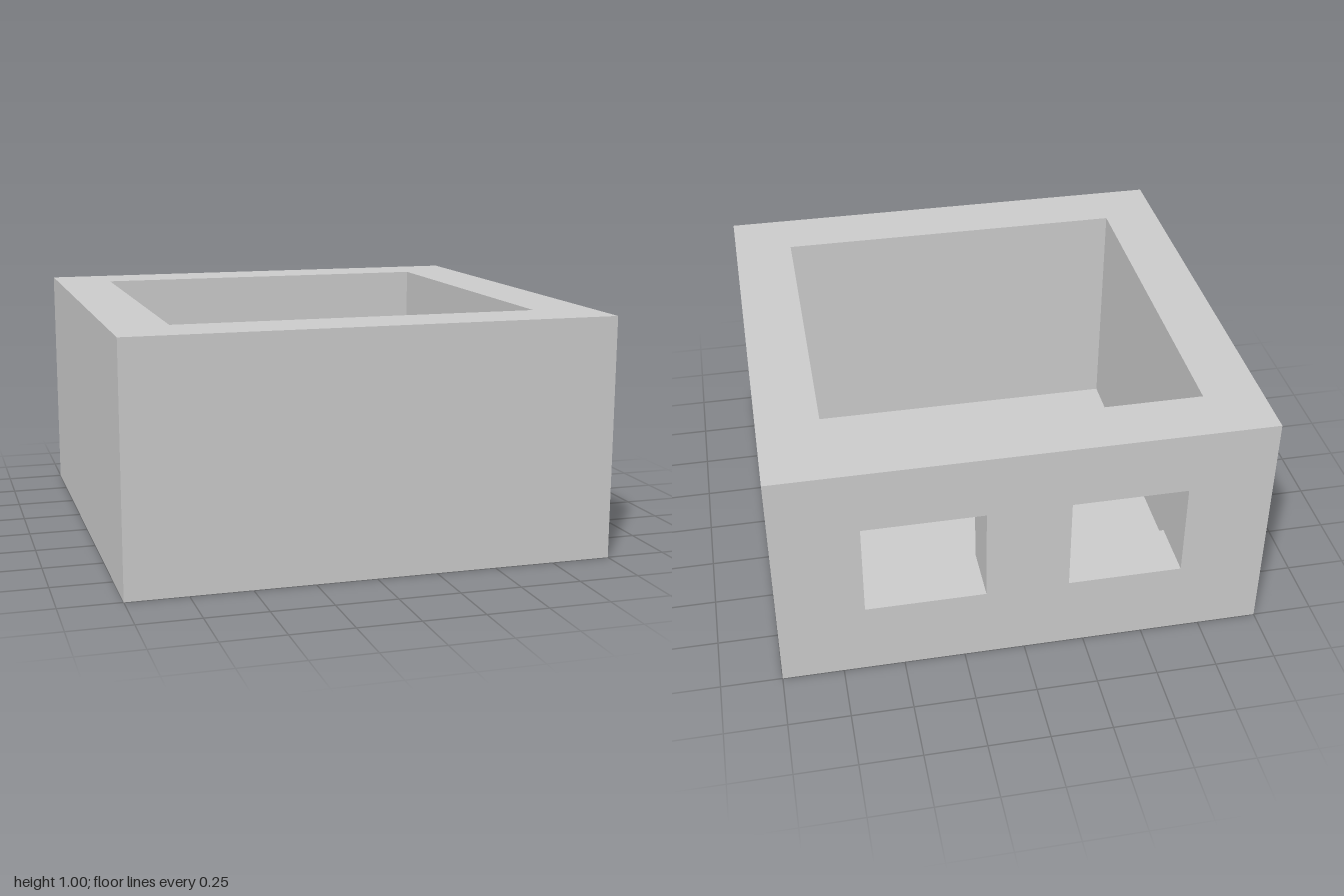
import * as THREE from 'three';

const material = new THREE.MeshStandardMaterial({ color: 0xcccccc, side: THREE.DoubleSide, flatShading: true });

// Room limits inside the walls, and openings as [u0, u1, y0, y1]
const X0 = -0.76, X1 = 0.75, Z0 = -0.755, Z1 = 0.745;
const WINDOWS = [[-0.65, -0.18, 0.32, 0.73], [0.16, 0.65, 0.32, 0.73]];
const DOOR = [-0.25, 0.265, 0, 0.735];

const toPoints = (list) => list.map(([x, y]) => new THREE.Vector2(x, y));
const rect = (u0, u1, y0, y1) => toPoints([[u0, y0], [u1, y0], [u1, y1], [u0, y1]]);

// Door jambs and head, as a path from one foot to the other
const doorPath = toPoints([[DOOR[1], 0], [DOOR[1], DOOR[3]], [DOOR[0], DOOR[3]], [DOOR[0], 0]]);

export function createModel() {
  const group = new THREE.Group();

  function add(name, geometry) {
    const mesh = new THREE.Mesh(geometry, material);
    mesh.name = name;
    group.add(mesh);
  }

  function flat(outline, holes = []) {
    const shape = new THREE.Shape(outline);
    holes.forEach((h) => shape.holes.push(new THREE.Path(h)));
    return new THREE.ShapeGeometry(shape);
  }

  // Upright wall skin at z = d, or at x = -d when turned to a side
  function skin(name, outline, d, { holes = [], side = false, flip = false } = {}) {
    const geometry = flat(outline, holes).translate(0, 0, d);
    if (flip) {
      geometry.index.array.reverse();
      geometry.computeVertexNormals();
    }
    if (side) geometry.rotateY(-Math.PI / 2);
    add(name, geometry);
  }

  // Faces through the wall thickness, along a path of corners
  function reveal(name, path, d0, d1, { closed = false, side = false } = {}) {
    const positions = [];
    const count = closed ? path.length : path.length - 1;
    for (let i = 0; i < count; i++) {
      const p = path[i], q = path[(i + 1) % path.length];
      const a = [p.x, p.y, d0], b = [p.x, p.y, d1], c = [q.x, q.y, d1], e = [q.x, q.y, d0];
      positions.push(...a, ...b, ...c, ...a, ...c, ...e);
    }
    const geometry = new THREE.BufferGeometry();
    geometry.setAttribute('position', new THREE.Float32BufferAttribute(positions, 3));
    geometry.computeVertexNormals();
    if (side) geometry.rotateY(-Math.PI / 2);
    add(name, geometry);
  }

  // Wall outline with the doorway cut up from the ground
  const doorWall = (u0, u1) => [
    ...toPoints([[u1, 0], [u1, 1], [u0, 1], [u0, 0]]),
    ...[...doorPath].reverse(),
  ];
  const windowHoles = WINDOWS.map((w) => rect(...w));

  // Outer skins
  skin('frontWallOuter', rect(-1, 1, 0, 1), 1);
  skin('backWallOuter', rect(-1, 1, 0, 1), -1, { holes: windowHoles, flip: true });
  skin('doorWallOuter', doorWall(-1, 1), -1, { side: true, flip: true });
  skin('plainSideWallOuter', rect(-1, 1, 0, 1), 1, { side: true });

  // Inner skins
  skin('frontWallInner', rect(X0, X1, 0, 1), Z1, { flip: true });
  skin('backWallInner', rect(X0, X1, 0, 1), Z0, { holes: windowHoles });
  skin('doorWallInner', doorWall(Z0, Z1), -X1, { side: true });
  skin('plainSideWallInner', rect(Z0, Z1, 0, 1), -X0, { side: true, flip: true });

  // Window and door reveals
  windowHoles.forEach((hole, i) => reveal(`windowReveal${i + 1}`, hole, -1, Z0, { closed: true }));
  reveal('doorReveal', doorPath, -1, -X1, { side: true });

  // Top of the walls
  add('wallTop', flat(rect(-1, 1, -1, 1), [rect(X0, X1, -Z1, -Z0)])
    .rotateX(-Math.PI / 2).translate(0, 1, 0));

  // Floor, running out through the doorway; the walls stay open below
  add('floor', flat(toPoints([
    [X0, -Z1], [X1, -Z1], [X1, -DOOR[1]], [1, -DOOR[1]],
    [1, -DOOR[0]], [X1, -DOOR[0]], [X1, -Z0], [X0, -Z0],
  ])).rotateX(-Math.PI / 2));

  return group;
}
